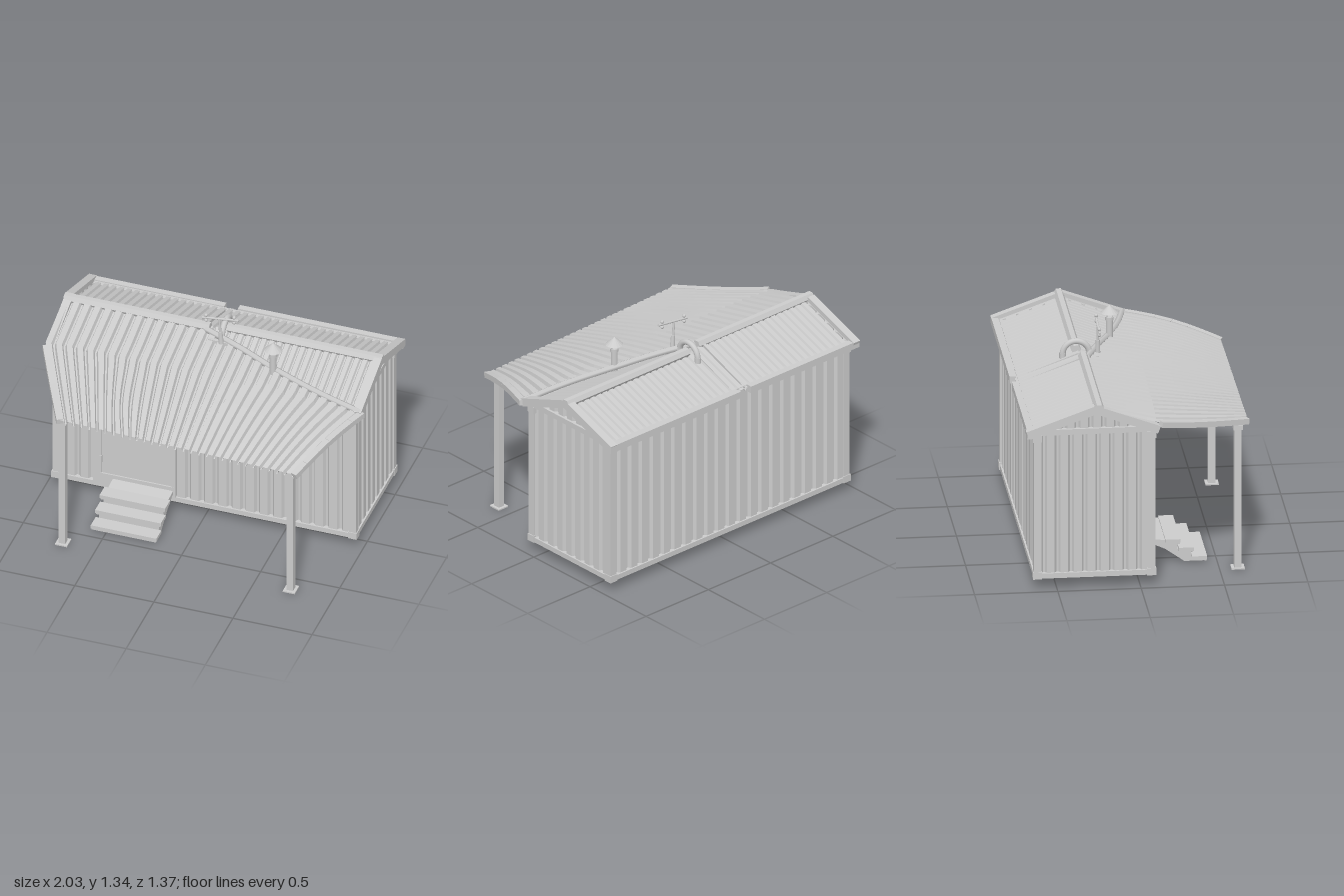
import * as THREE from 'three';

const V = (x, y, z) => new THREE.Vector3(x, y, z);
const lerp = THREE.MathUtils.lerp;
const mat = new THREE.MeshStandardMaterial({ color: 0xcccccc, flatShading: true });
const sheetMat = new THREE.MeshStandardMaterial({ color: 0xcccccc, flatShading: true, side: THREE.DoubleSide });
const smooth = new THREE.MeshStandardMaterial({ color: 0xcccccc });

export function createModel() {
  const root = new THREE.Group();
  const add = (name, geo, m = mat, parent = root) => {
    const mesh = new THREE.Mesh(geo, m);
    mesh.name = name;
    parent.add(mesh);
    return mesh;
  };
  const box = (name, x0, x1, y0, y1, z0, z1) => {
    const m = add(name, new THREE.BoxGeometry(x1 - x0, y1 - y0, z1 - z0));
    m.position.set((x0 + x1) / 2, (y0 + y1) / 2, (z0 + z1) / 2);
    return m;
  };
  // square bar between two points
  const beam = (name, a, b, w, h) => {
    const m = add(name, new THREE.BoxGeometry(w, h, a.distanceTo(b)));
    m.position.copy(a).lerp(b, 0.5);
    m.lookAt(b);
    return m;
  };
  const rod = (name, a, b, r, r2 = r) => {
    const geo = new THREE.CylinderGeometry(r2, r, a.distanceTo(b), 12);
    const m = add(name, geo, smooth);
    m.position.copy(a).lerp(b, 0.5);
    m.quaternion.setFromUnitVectors(V(0, 1, 0), b.clone().sub(a).normalize());
    return m;
  };
  // ribbed sheet: point(u, v) gives the face, ribs are pressed in along -out
  const sheet = (name, point, out, ribs, rows = 1, depth = 0.018) => {
    const profile = [[0, 0], [0.56, 0], [0.7, 1], [0.86, 1]];
    const cols = [];
    for (let i = 0; i < ribs; i++) profile.forEach(([t, d]) => cols.push([(i + t) / ribs, d]));
    cols.push([1, 0]);
    const pos = [], index = [];
    cols.forEach(([u, d], i) => {
      for (let j = 0; j <= rows; j++) {
        const p = point(u, j / rows).addScaledVector(out, -d * depth);
        pos.push(p.x, p.y, p.z);
        if (i && j) {
          const b = i * (rows + 1) + j, a = b - rows - 1;
          index.push(a - 1, b - 1, b, a - 1, b, a);
        }
      }
    });
    const geo = new THREE.BufferGeometry();
    geo.setAttribute('position', new THREE.Float32BufferAttribute(pos, 3));
    geo.setIndex(index);
    geo.computeVertexNormals();
    return add(name, geo, sheetMat);
  };

  // cabin walls
  const X = 0.96, Z0 = -0.64, Z1 = 0.09, Y0 = 0.07, Y1 = 1.01;
  sheet('frontWall', (u, v) => V(lerp(-X, X, u), lerp(Y0, Y1, v), Z1 - 0.01), V(0, 0, 1), 22);
  sheet('backWall', (u, v) => V(lerp(X, -X, u), lerp(Y0, Y1, v), Z0 + 0.01), V(0, 0, -1), 22);
  for (const s of [-1, 1]) {
    sheet('endWall', (u, v) => V(s * (X - 0.01), lerp(Y0, Y1, v), lerp(Z1, Z0, s > 0 ? u : 1 - u)), V(s, 0, 0), 9);
  }
  box('floor', -X + 0.01, X - 0.01, Y0, Y0 + 0.03, Z0 + 0.01, Z1 - 0.01);

  // steel frame with corner blocks
  for (const [y, h] of [[Y0, 0.032], [0.98, 0.035]]) {
    for (const z of [Z0, Z1 - 0.03]) box('longRail', -X, X, y, y + h, z, z + 0.03);
    for (const x of [-X, X - 0.03]) box('endRail', x, x + 0.03, y, y + h, Z0, Z1);
  }
  for (const x of [-X, X - 0.045]) {
    for (const z of [Z0, Z1 - 0.045]) {
      box('cornerPost', x, x + 0.045, Y0, Y1, z, z + 0.045);
      for (const y of [Y0 - 0.003, 0.94]) {
        box('cornerBlock', x - 0.005, x + 0.05, y, y + 0.045, z - 0.005, z + 0.05);
      }
    }
  }

  // gable roof
  const ridgeZ = -0.27, ridgeY = 1.145, backZ = -0.675, backY = 1.0, frontZ = 0.1, frontY = 1.005;
  const roofY = z => z < ridgeZ
    ? lerp(ridgeY, backY, (ridgeZ - z) / (ridgeZ - backZ))
    : lerp(ridgeY, frontY, (z - ridgeZ) / (frontZ - ridgeZ));
  const slope = (name, zEdge) => sheet(name, (u, v) => {
    const z = lerp(zEdge, ridgeZ, v);
    return V(lerp(-0.98, 0.98, u), roofY(z), z);
  }, V(0, 1, 0), 40, 1, 0.014);
  slope('backRoof', backZ + 0.02);
  slope('frontRoof', frontZ);
  for (const s of [-1, 1]) {
    const ridge = V(s * 0.975, ridgeY, ridgeZ);
    beam('backRakeTrim', ridge, V(s * 0.975, backY - 0.003, backZ - 0.005), 0.05, 0.05);
    beam('frontRakeTrim', ridge, V(s * 0.975, frontY, frontZ + 0.01), 0.05, 0.05);
    sheet('gable', (u, v) => {
      const z = lerp(Z1 - 0.01, Z0 + 0.01, u);
      return V(s * 0.945, lerp(1.0, roofY(z), v), z);
    }, V(s, 0, 0), 9);
  }
  // ridge caps and back eaves, split in two lengths
  for (const [x0, x1, dz] of [[-1, -0.08, 0.02], [0.02, 1, -0.01]]) {
    const cap = rod('ridgeCap', V(x0, ridgeY + 0.005, ridgeZ + dz), V(x1, ridgeY + 0.005, ridgeZ + dz), 0.028);
    cap.geometry = new THREE.CylinderGeometry(0.03, 0.03, x1 - x0, 6);
    cap.material = mat;
  }
  for (const [x0, x1, z] of [[-1, -0.13, -0.662], [-0.045, 1, -0.667]]) {
    beam('backEave', V(x0, 0.998, z), V(x1, 0.998, z), 0.04, 0.045);
  }
  for (const x of [-0.12, -0.03]) beam('roofJoint', V(x, 1.003, -0.64), V(x, 1.145, ridgeZ), 0.018, 0.015);

  // awning: upper edge follows the ridge then sweeps down to the right front corner
  const seam = new THREE.CatmullRomCurve3([V(-0.1, 1.145, -0.23), V(0.15, 1.125, -0.14),
    V(0.4, 1.09, -0.05), V(0.7, 1.055, 0.04), V(0.99, 1.02, 0.1)]);
  const awningTop = u => {
    const x = -1 + 2 * u;
    if (x < -0.1) return V(x, lerp(1.16, 1.145, u / 0.45), lerp(-0.25, -0.23, u / 0.45));
    const p = seam.getPoint((x + 0.1) / 1.1);
    p.x = x;
    return p;
  };
  const awning = (u, v) => {
    const top = awningTop(u), z = lerp(top.z, 0.67, v);
    const t = Math.max(0, (z - 0.1) / 0.57);
    const edge = Math.pow(Math.abs(2 * u - 1), 6);
    const wobble = 0.02 * Math.sin(v * 7) * v * Math.exp(-Math.pow((u - 0.27) / 0.05, 2));
    const x = lerp(lerp(-1, -0.71, t), lerp(1, 0.77, t), u) + wobble;
    const bulge = Math.sin(Math.PI * v) * (u * 0.025 - (1 - u) * edge * 0.025);
    return V(x, lerp(top.y, lerp(0.945, 0.9, u), v) + bulge, z);
  };
  sheet('awning', awning, V(0, 1, 0), 30, 16, 0.022);
  add('awningSeam', new THREE.TubeGeometry(seam, 32, 0.02, 6), smooth);
  for (const [u, n] of [[0, 0.4], [1, 0]]) {
    for (let i = 0; i < 6; i++) {
      const a = awning(u, lerp(n, 1, i / 6)), b = awning(u, lerp(n, 1, (i + 1) / 6));
      a.y -= 0.012;
      b.y -= 0.012;
      beam('awningSideTrim', a, b, 0.04, 0.035);
    }
  }

  // awning posts
  for (const [x, top] of [[-0.71, 0.925], [0.73, 0.885]]) {
    box('awningPost', x - 0.021, x + 0.021, 0, top, 0.588, 0.632);
    box('postFoot', x - 0.038, x + 0.038, 0, 0.008, 0.57, 0.65);
    box('postHead', x - 0.028, x + 0.028, top - 0.04, top - 0.01, 0.582, 0.638);
  }

  // door with frame, kick seam, handle and small hood
  box('door', -0.65, -0.2, 0.17, 0.95, 0.06, 0.088);
  box('doorJamb', -0.7, -0.65, 0.1, 0.98, 0.06, 0.095);
  box('doorJamb', -0.205, -0.18, 0.1, 0.98, 0.06, 0.095);
  box('doorLintel', -0.7, -0.18, 0.94, 0.98, 0.06, 0.095);
  box('doorSill', -0.66, -0.19, 0.1, 0.175, 0.06, 0.097);
  box('doorSeam', -0.645, -0.22, 0.494, 0.5, 0.08, 0.091);
  for (const y of [0.25, 0.52, 0.8]) box('doorHinge', -0.66, -0.645, y, y + 0.05, 0.08, 0.1);
  box('doorHandlePlate', -0.236, -0.206, 0.535, 0.59, 0.085, 0.096);
  beam('doorHandle', V(-0.22, 0.575, 0.09), V(-0.22, 0.575, 0.122), 0.014, 0.014);
  box('doorHandleGrip', -0.228, -0.212, 0.535, 0.583, 0.113, 0.125);
  const hood = beam('doorHood', V(-0.455, 0.95, 0.09), V(-0.455, 0.882, 0.21), 0.33, 0.01);
  hood.updateMatrix();

  // steps: solid stepped body with overhanging treads
  const side = new THREE.Shape([[0.09, 0.15], [0.1, 0.125], [0.19, 0.085], [0.305, 0.003], [0.425, 0.003], [0.425, 0.025],
    [0.345, 0.025], [0.345, 0.08], [0.265, 0.08], [0.265, 0.135]].map(p => new THREE.Vector2(...p)));
  const steps = add('stepBody', new THREE.ExtrudeGeometry(side, { depth: 0.38, bevelEnabled: false }));
  steps.rotation.y = -Math.PI / 2;
  steps.position.x = -0.195;
  [[0.19, 0.14], [0.27, 0.085], [0.35, 0.027]].forEach(([z, y]) => {
    box('stepTread', -0.595, -0.18, y - 0.012, y + 0.01, z, z + 0.09);
    box('stepNosing', -0.59, -0.185, y - 0.022, y - 0.004, z + 0.075, z + 0.086);
  });

  // stove pipe with conical cap
  const px = 0.39, pz = -0.04;
  rod('stovePipe', V(px, 1.05, pz), V(px, 1.21, pz), 0.021);
  rod('pipeCollar', V(px, 1.195, pz), V(px, 1.215, pz), 0.026);
  for (let i = 0; i < 3; i++) {
    const a = i * Math.PI * 2 / 3, x = px + 0.02 * Math.cos(a), z = pz + 0.02 * Math.sin(a);
    rod('capStay', V(x, 1.2, z), V(x, 1.25, z), 0.004);
  }
  const cap = add('pipeCap', new THREE.ConeGeometry(0.054, 0.05, 16));
  cap.position.set(px, 1.265, pz);

  // arched duct over the ridge
  const arch = add('ridgeArch', new THREE.TorusGeometry(0.08, 0.018, 10, 24, Math.PI), smooth);
  arch.rotation.y = Math.PI / 2;
  arch.position.set(0.01, 1.13, -0.282);
  for (const z of [-0.362, -0.202]) rod('archFoot', V(0.01, 1.08, z), V(0.01, 1.14, z), 0.02);

  // mast with crossbar and cups
  const mz = -0.15;
  rod('mastBase', V(0.025, 1.1, mz), V(0.018, 1.21, mz), 0.017, 0.012);
  rod('mast', V(0.018, 1.2, mz), V(0.01, 1.3, mz), 0.008);
  const a = V(-0.095, 1.288, mz), b = V(0.135, 1.318, mz);
  rod('mastCrossbar', a, b, 0.007);
  beam('mastBracket', V(-0.06, 1.125, mz - 0.01), V(0.09, 1.12, mz - 0.01), 0.02, 0.02);
  for (const t of [0.1, 0.87]) {
    const c = a.clone().lerp(b, t);
    rod('cupStem', c.clone().add(V(0, -0.02, 0)), c.clone().add(V(0, 0.02, 0)), 0.005);
    for (const s of [-1, 1]) {
      const cup = add('mastCup', new THREE.SphereGeometry(0.011, 10, 8), smooth);
      cup.position.copy(c).add(V(0, s * 0.018, 0));
    }
  }
  return root;
}
